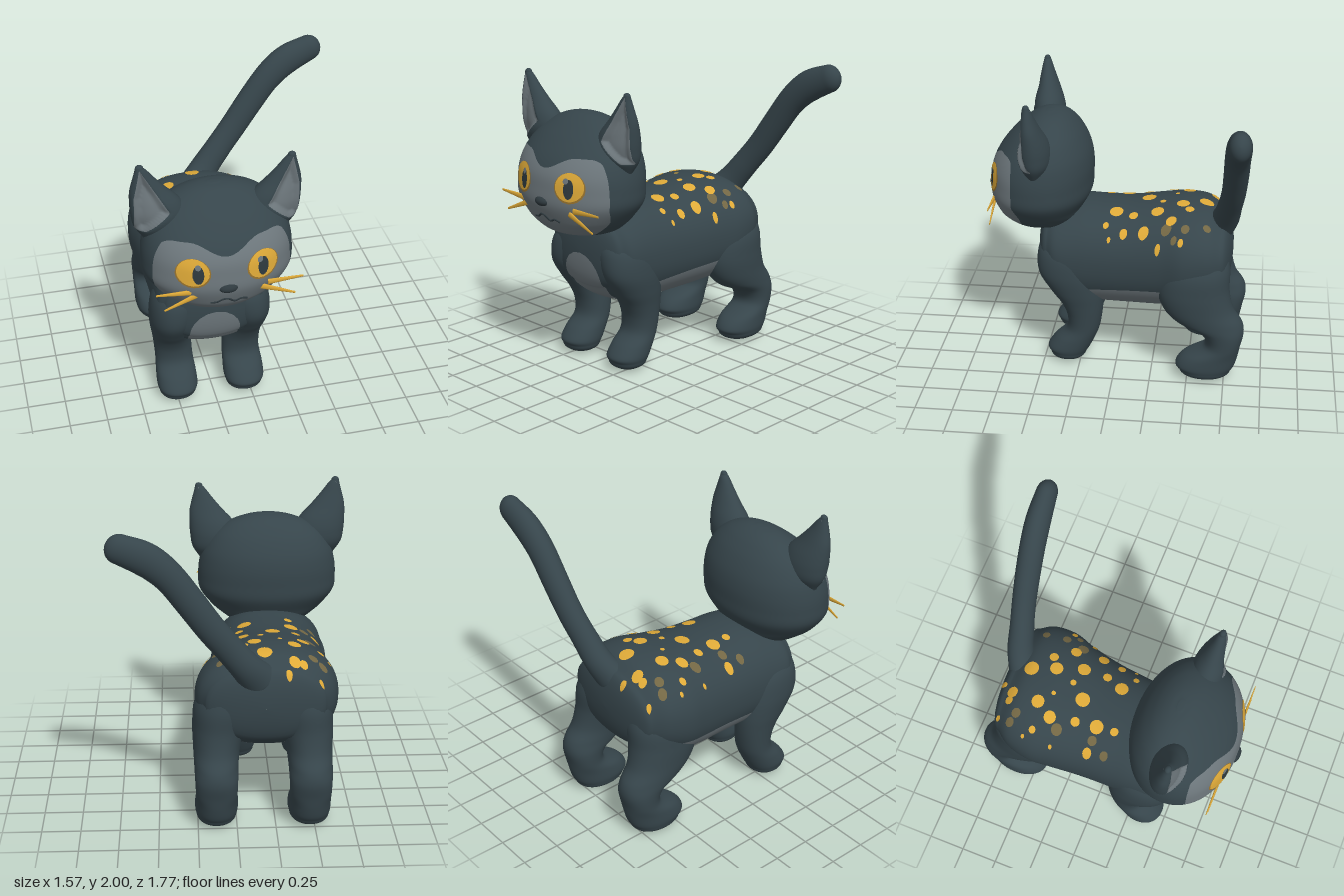
import * as THREE from 'three';

const mat = (name, color) => Object.assign(new THREE.MeshStandardMaterial({ color }), { name });
const V = (x, y, z) => new THREE.Vector3(x, y, z);
const X = V(1, 0, 0), Y = V(0, 1, 0), Z = V(0, 0, 1);

// Smooth skin through sections [x, y, z, radiusU, radiusV], with rounded ends.
// Without v, the sections stay square to the path.
function loft(rows, { u, v, n = 2, ring = 40, steps = 60, capA = 0.05, capB = 0.05 }) {
  const path = new THREE.CatmullRomCurve3(rows.map(r => V(r[0], r[1], r[2])), false, 'catmullrom');
  const radii = new THREE.CatmullRomCurve3(rows.map(r => V(r[3], r[4], 0)), false, 'catmullrom');
  const pos = [], index = [], caps = 8;
  const power = a => Math.sign(a) * Math.abs(a) ** (2 / n);
  const addRing = (t, shift, scale) => {
    const c = path.getPoint(t), r = radii.getPoint(t);
    const side = v || path.getTangent(t).cross(u).normalize();
    c.addScaledVector(u.clone().cross(side).normalize(), shift);
    for (let j = 0; j < ring; j++) {
      const a = j / ring * Math.PI * 2;
      pos.push(...c.clone().addScaledVector(u, power(Math.cos(a)) * r.x * scale)
        .addScaledVector(side, power(Math.sin(a)) * r.y * scale));
    }
  };
  const addCap = (t, k, length) => {
    const a = k / caps * Math.PI / 2;
    addRing(t, length * Math.cos(a), Math.max(Math.sin(a), 0.002));
  };
  for (let k = 0; k < caps; k++) addCap(0, k, -capA);
  for (let i = 0; i <= steps; i++) addRing(i / steps, 0, 1);
  for (let k = caps - 1; k >= 0; k--) addCap(1, k, capB);
  for (let i = 0; i < pos.length / 3 / ring - 1; i++) {
    for (let j = 0; j < ring; j++) {
      const a = i * ring + j, b = i * ring + (j + 1) % ring;
      index.push(a, b, a + ring, b, b + ring, a + ring);
    }
  }
  const g = new THREE.BufferGeometry();
  g.setAttribute('position', new THREE.Float32BufferAttribute(pos, 3));
  g.setIndex(index);
  g.computeVertexNormals();
  return g;
}

// Cuts the skin where the rule is zero; the positive side gets the second material.
function paint(g, rule) {
  const pos = [...g.attributes.position.array], nor = [...g.attributes.normal.array];
  const idx = g.index.array, lists = [[], []], f = [];
  for (let i = 0; i < pos.length; i += 3) f.push(rule(pos[i], pos[i + 1], pos[i + 2]));
  const cut = (i, j) => {
    const t = f[i] / (f[i] - f[j]);
    for (const a of [pos, nor]) for (let k = 0; k < 3; k++) a.push(a[i * 3 + k] * (1 - t) + a[j * 3 + k] * t);
    return pos.length / 3 - 1;
  };
  const on = i => (f[i] > 0 ? 1 : 0);
  for (let i = 0; i < idx.length; i += 3) {
    let [a, b, c] = idx.slice(i, i + 3);
    if (on(a) === on(b) && on(b) === on(c)) { lists[on(a)].push(a, b, c); continue; }
    while (on(b) !== on(c)) [a, b, c] = [b, c, a];
    const ab = cut(a, b), ac = cut(a, c);
    lists[on(a)].push(a, ab, ac);
    lists[on(b)].push(ab, b, c, ab, c, ac);
  }
  g.setAttribute('position', new THREE.Float32BufferAttribute(pos, 3));
  g.setAttribute('normal', new THREE.Float32BufferAttribute(nor, 3));
  g.setIndex(lists.flat());
  g.addGroup(0, lists[0].length, 0);
  g.addGroup(lists[0].length, lists[1].length, 1);
  return g;
}

// Point on a mesh hit from the front or from above, lifted slightly off it.
function project(target, a, b, top, lift) {
  const ray = new THREE.Raycaster(top ? V(a, 5, b) : V(a, b, 5), top ? V(0, -1, 0) : V(0, 0, -1));
  const hit = ray.intersectObject(target)[0];
  return hit && hit.point.addScaledVector(hit.face.normal, lift);
}

// Thin oval draped over a mesh.
function decal(target, a, b, ra, rb, top, lift) {
  const seg = 20, centre = project(target, a, b, top, lift), pts = [centre], index = [];
  for (let k = 1; k <= 3; k++) {
    for (let j = 0; j < seg; j++) {
      const t = j / seg * Math.PI * 2, db = rb * k / 3 * Math.sin(t) * (top ? -1 : 1);
      pts.push(project(target, a + ra * k / 3 * Math.cos(t), b + db, top, lift) || centre);
      const i = 1 + (k - 1) * seg + j, m = 1 + (k - 1) * seg + (j + 1) % seg;
      if (k === 1) index.push(0, i, m);
      else index.push(i - seg, i, m, i - seg, m, m - seg);
    }
  }
  const g = new THREE.BufferGeometry().setFromPoints(pts);
  g.setIndex(index);
  g.computeVertexNormals();
  return g;
}

export function createModel() {
  const cat = new THREE.Group();
  const fur = mat('dark fur', 0x36454b), grey = mat('grey fur', 0x6d777c), gold = mat('gold', 0xdfaa38);
  const olive = mat('dull gold', 0x736744), rim = mat('eye rim', 0x97732f), dark = mat('nose and pupils', 0x2e393e);
  const add = (name, geometry, material) => {
    const m = Object.assign(new THREE.Mesh(geometry, material), { name });
    cat.add(m);
    return m;
  };

  // Body with grey belly and chest
  const body = add('body', paint(loft([
    [-.18, .845, -.70, .38, .245], [-.19, .84, -.6, .44, .31], [-.2, .813, -.45, .46, .352],
    [-.215, .79, -.3, .43, .36], [-.225, .772, -.1, .40, .352], [-.235, .768, .1, .385, .352],
    [-.245, .77, .25, .38, .35], [-.255, .785, .4, .37, .305], [-.26, .81, .47, .325, .25],
  ], { u: X, v: Y, n: 2.25, ring: 80, steps: 70, capA: .08, capB: .075 }), (x, y, z) => Math.max(
    Math.min(z - .3, .165 - Math.hypot(x + .265, Math.max(0, y - .63) * .95)),
    Math.min(z + .58, .35 - z, .62 - z * .1 - y))), [fur, grey]);

  // Gold and dull spots on the back: x, z, radius
  const spots = (name, list, material, lift) => list.forEach(([x, z, r]) =>
    add(name, decal(body, x, z, r, r, true, lift), material));
  spots('gold spot', [
    [-.176, -.59, .048], [-.37, -.465, .042], [-.25, -.2, .048], [-.077, .005, .045], [-.12, -.437, .043],
    [-.05, -.484, .03], [-.05, -.272, .043], [-.38, -.05, .045], [-.434, -.357, .04], [-.36, -.65, .036],
    [-.415, -.653, .026], [-.523, -.695, .016], [-.32, -.73, .02], [-.54, -.44, .022], [-.59, -.49, .012],
    [-.585, -.3, .012], [-.4, -.193, .03], [-.284, -.39, .015], [-.167, -.3, .02], [.05, -.37, .035],
    [.09, -.19, .035], [-.035, -.113, .03], [.03, .066, .02], [.08, -.056, .026], [.1, .04, .012],
    [-.37, .07, .027], [-.54, -.056, .03], [.175, -.29, .018], [.19, -.44, .018],
  ], gold, .005);
  spots('dull spot', [
    [-.486, -.29, .036], [-.54, -.6, .028], [-.48, -.577, .03], [.1, -.34, .035], [.17, -.394, .02],
    [.12, -.465, .028], [.1, -.605, .025], [-.467, -.047, .03], [-.523, .056, .027],
  ], olive, .0035);

  // Legs: distance from the middle, y, z, depth radius, width radius
  const frontLeg = [
    [.23, .06, .335, .125, .125], [.23, .1, .33, .145, .135], [.23, .17, .288, .138, .133],
    [.23, .25, .232, .113, .126], [.235, .35, .22, .12, .126], [.245, .45, .235, .145, .127],
    [.255, .55, .27, .18, .133], [.252, .68, .315, .212, .147], [.225, .82, .335, .2, .155],
    [.18, .93, .35, .15, .13],
  ];
  const hindLeg = [
    [.3, .06, -.62, .175, .13], [.3, .1, -.62, .2, .138], [.3, .17, -.655, .185, .137],
    [.3, .25, -.733, .122, .133], [.3, .35, -.728, .147, .137], [.3, .43, -.64, .22, .142],
    [.295, .52, -.565, .235, .152], [.28, .65, -.527, .243, .17], [.255, .8, -.535, .232, .178], [.22, .95, -.56, .17, .12],
  ];
  for (const s of [-1, 1]) {
    const place = (rows, mid) => rows.map(([d, ...rest]) => [mid + s * d, ...rest]);
    const side = s > 0 ? 'left' : 'right';
    const opts = { u: Z, v: X, n: 2.15, capA: .06, capB: .08 };
    add(side + 'FrontLeg', loft(place(frontLeg, -.262), opts), fur);
    add(side + 'HindLeg', loft(place(hindLeg, -.17), opts), fur);

    // Ear, hollowed in front with grey inside
    const ear = loft(place([
      [.33, 1.45, .52, .06, .13], [.345, 1.53, .52, .1, .165], [.355, 1.61, .525, .11, .17],
      [.375, 1.69, .53, .098, .155], [.415, 1.78, .538, .07, .113], [.44, 1.86, .546, .047, .07],
      [.455, 1.92, .55, .03, .039], [.464, 1.945, .552, .021, .025],
    ], -.255), { u: Z, v: X, ring: 56, steps: 70, capA: .04, capB: .022 });
    const inside = (x, y, z) => {
      const d = s * (x + .255);
      return Math.min(z - .525, .51 - Math.max(0, y - 1.75) * .22 - d, d - .455 + (1.92 - y) * .57,
        d - .305, y - 1.52 - Math.max(0, .445 - d) * .9);
    };
    const p = ear.attributes.position;
    for (let i = 0; i < p.count; i++) {
      const f = inside(p.getX(i), p.getY(i), p.getZ(i));
      if (f > 0) p.setZ(i, p.getZ(i) - Math.min(f * .9, .035));
    }
    ear.computeVertexNormals();
    add(side + 'Ear', paint(ear, inside), [fur, grey]).position.y = -.015 - .017 * s;
  }

  // Tail
  add('tail', loft([
    [-.15, .98, -.65, .12, .13], [-.06, 1.1, -.72, .092, .1], [.05, 1.24, -.75, .08, .092],
    [.16, 1.38, -.772, .078, .092], [.28, 1.55, -.785, .08, .094], [.39, 1.7, -.792, .081, .096],
    [.48, 1.79, -.798, .081, .102], [.57, 1.85, -.803, .078, .104], [.7, 1.905, -.808, .068, .092],
  ], { u: Z, capB: .085 }), fur);

  // Head with grey mask
  const head = add('head', paint(loft([
    [-.255, .958, .52, .06, .07], [-.255, .965, .52, .12, .14], [-.255, .98, .52, .185, .21],
    [-.255, 1.0, .52, .23, .27], [-.255, 1.05, .53, .27, .34], [-.255, 1.1, .535, .295, .395],
    [-.255, 1.2, .527, .338, .465], [-.255, 1.3, .522, .342, .474], [-.255, 1.4, .515, .335, .465],
    [-.255, 1.5, .50, .30, .435], [-.255, 1.6, .482, .235, .37], [-.255, 1.67, .47, .168, .285],
    [-.255, 1.71, .465, .115, .2], [-.255, 1.733, .465, .068, .12], [-.255, 1.742, .465, .025, .045],
  ], { u: Z, v: X, n: 2.1, ring: 100, steps: 90, capA: .003, capB: .002 }), (x, y, z) => {
    const d = Math.abs(x + .255);
    const brow = 1.435 + .08 * Math.sin(Math.min(d / .22, 1) * Math.PI / 2) ** 2 - 5 * Math.max(0, d - .3) ** 2;
    return Math.min(brow - y, z - .675 + Math.min(Math.max(0, 1.2 - y) * .5, .045));
  }), [fur, grey]);

  // Eyes, each with rim, iris, pupil and glint
  for (const [x, px, gx] of [[-.465, -.436, -.436], [-.035, -.035, -.056]]) {
    add('eyeRim', decal(head, x, 1.336, .104, .097, false, .003), rim);
    add('iris', decal(head, x, 1.342, .096, .09, false, .005), gold);
    add('pupil', decal(head, px, 1.33, .034, .062, false, .007), dark);
    add('eyeGlint', decal(head, gx, 1.38, .018, .018, false, .009), grey);
  }

  // Nose and mouth
  const nose = add('nose', new THREE.SphereGeometry(1, 24, 16), dark);
  nose.scale.set(.06, .032, .035);
  nose.position.set(-.256, 1.22, .855);
  const lips = [[-.36, 1.1], [-.32, 1.105], [-.28, 1.13], [-.25, 1.125], [-.21, 1.095], [-.17, 1.11], [-.13, 1.095]];
  add('mouth', new THREE.TubeGeometry(new THREE.CatmullRomCurve3(
    lips.map(([x, y]) => project(head, x, y, false, .001))), 40, .007, 6), dark);

  // Flat whiskers, two each side
  for (const s of [-1, 1]) {
    for (const [d0, y0, d1, y1] of [[.24, 1.195, .46, 1.205], [.2, 1.17, .41, 1.085]]) {
      const from = V(-.24 + s * d0, y0, .82), to = V(-.235 + s * d1, y1, .82);
      const w = add('whisker', new THREE.CylinderGeometry(.007, .02, from.distanceTo(to), 10), gold);
      w.position.copy(from).lerp(to, .5);
      w.quaternion.setFromUnitVectors(Y, to.clone().sub(from).normalize());
      w.scale.z = .4;
    }
  }
  return cat;
}
